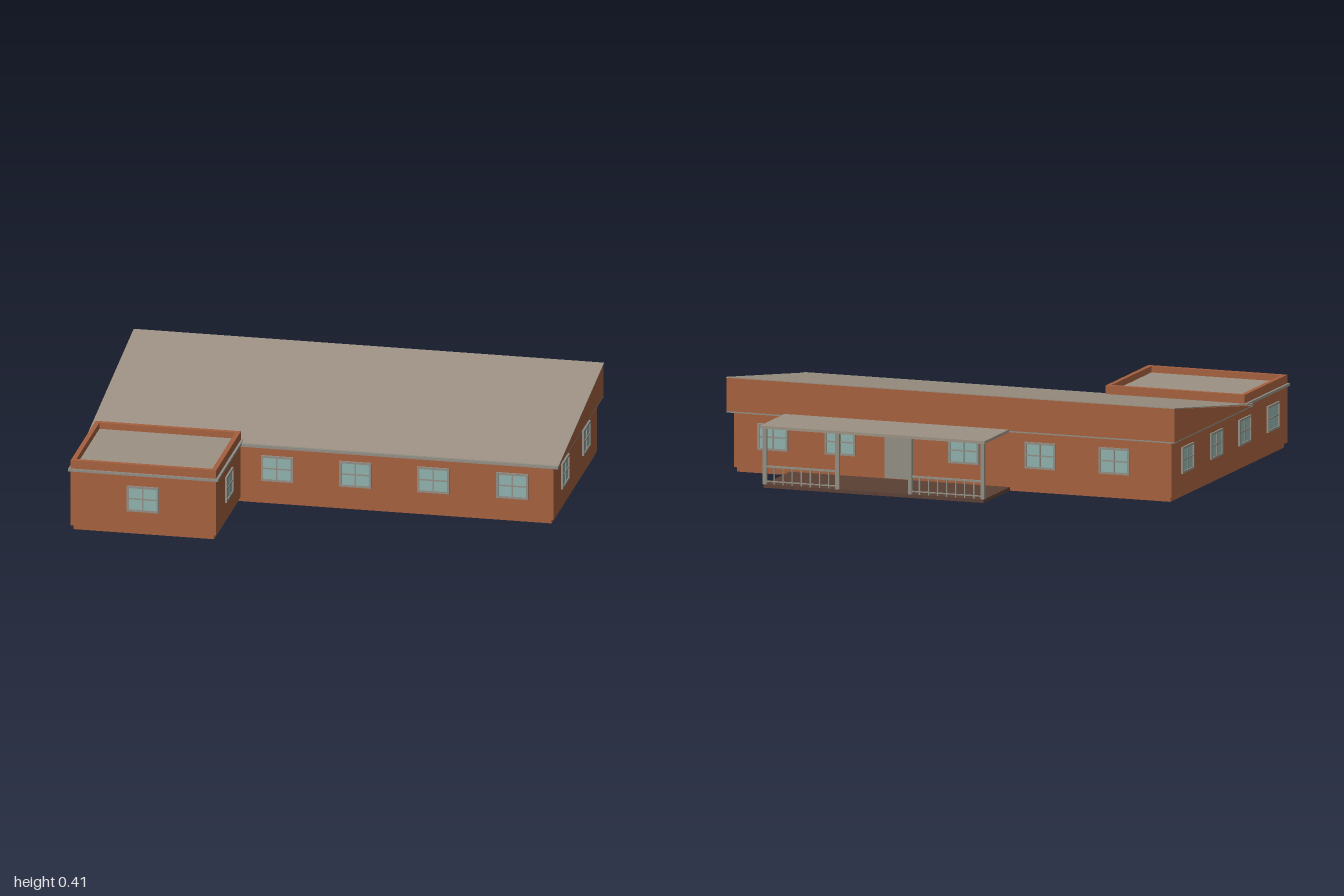
import * as THREE from 'three';

const mat = (name, color, extra) => Object.assign(new THREE.MeshStandardMaterial({ color }), { name }, extra);

export function createModel() {
  const brick = mat('brick', 0xa5603e);
  const roofing = mat('roofing', 0x9c9183);
  const trim = mat('trim', 0x918d84);
  const glass = mat('glass', 0x8fb0ac);
  const deckWood = mat('deckWood', 0x5a4034);

  const house = new THREE.Group();
  house.name = 'house';

  // Box given by its extents on each axis
  function box(parent, name, material, x0, x1, y0, y1, z0, z1) {
    const mesh = new THREE.Mesh(new THREE.BoxGeometry(x1 - x0, y1 - y0, z1 - z0), material);
    mesh.position.set((x0 + x1) / 2, (y0 + y1) / 2, (z0 + z1) / 2);
    mesh.name = name;
    parent.add(mesh);
    return mesh;
  }

  // Profile in (z, y) swept along x, centred on x = 0
  function prism(name, material, points, width) {
    const shape = new THREE.Shape(points.map(([z, y]) => new THREE.Vector2(z, y)));
    const geo = new THREE.ExtrudeGeometry(shape, { depth: width, bevelEnabled: false });
    geo.translate(0, 0, -width / 2);
    geo.rotateY(-Math.PI / 2);
    const mesh = new THREE.Mesh(geo, material);
    mesh.name = name;
    house.add(mesh);
  }

  // Main block
  box(house, 'mainPlinth', brick, -0.965, 0.965, 0, 0.02, -0.512, 0.33);
  box(house, 'mainWalls', brick, -0.975, 0.975, 0.02, 0.256, -0.522, 0.34);
  box(house, 'soffit', trim, -0.998, 0.998, 0.254, 0.26, -0.548, 0.355);
  box(house, 'frontGutter', trim, -1, 1, 0.254, 0.266, 0.34, 0.367);

  // Single-pitch roof
  prism('gableWedge', brick, [[0.345, 0.26], [-0.548, 0.26], [-0.548, 0.401]], 1.996);
  prism('roofSheet', roofing, [[0.367, 0.26], [0.367, 0.264], [-0.55, 0.405], [-0.55, 0.401]], 2);

  // Front wing with flat roof and parapet
  const wx0 = -0.975, wx1 = -0.357, wz0 = 0.325, wz1 = 0.823;
  box(house, 'wingPlinth', brick, wx0 + 0.01, wx1 - 0.01, 0, 0.02, wz0, wz1 - 0.01);
  box(house, 'wingWalls', brick, wx0, wx1, 0.02, 0.26, wz0, wz1);
  box(house, 'wingRoof', trim, wx0 - 0.01, wx1 + 0.01, 0.26, 0.271, wz0, wz1 + 0.008);
  box(house, 'wingRoofTop', roofing, wx0 + 0.01, wx1 - 0.01, 0.271, 0.28, wz0 + 0.01, wz1 - 0.01);
  const p = 0.02;
  for (const x of [wx0, wx1 - p]) box(house, 'parapetSide', brick, x, x + p, 0.271, 0.307, wz0, wz1);
  for (const z of [wz0, wz1 - p]) box(house, 'parapetEnd', brick, wx0 + p, wx1 - p, 0.271, 0.307, z, z + p);

  // Windows: pane, frame and a cross of glazing bars, facing +z before turning
  function addWindow(x, z, angle) {
    const w = new THREE.Group();
    w.name = 'window';
    const hw = 0.068, hh = 0.056, f = 0.009;
    box(w, 'pane', glass, -hw + f, hw - f, -hh + f, hh - f, -0.002, 0.003);
    for (const s of [-1, 1]) {
      const cx = s * (hw - f / 2), cy = s * (hh - f / 2);
      box(w, 'frameSide', trim, cx - f / 2, cx + f / 2, -hh, hh, -0.002, 0.008);
      box(w, 'frameRail', trim, -hw + f, hw - f, cy - f / 2, cy + f / 2, -0.002, 0.008);
    }
    box(w, 'uprightBar', trim, -0.003, 0.003, -hh + f, hh - f, 0, 0.006);
    box(w, 'crossBar', trim, -hw + f, hw - f, -0.003, 0.003, 0, 0.006);
    w.position.set(x, 0.158, z);
    w.rotation.y = angle;
    house.add(w);
  }
  for (const x of [-0.2, 0.133, 0.465, 0.8]) addWindow(x, 0.34, 0);
  addWindow(-0.667, wz1, 0);
  addWindow(wx1, 0.575, Math.PI / 2);
  for (const z of [0.12, -0.3]) addWindow(0.975, z, Math.PI / 2);
  for (const z of [-0.345, -0.01, 0.32, 0.65]) addWindow(wx0, z, -Math.PI / 2);
  for (const x of [-0.72, -0.39, -0.05, 0.5, 0.8]) addWindow(x, -0.522, Math.PI);

  // Back porch
  const porch = new THREE.Group();
  porch.name = 'porch';
  house.add(porch);
  box(porch, 'deck', deckWood, -0.25, 0.73, 0, 0.015, -0.815, -0.512);
  box(porch, 'porchRoof', roofing, -0.26, 0.74, 0.253, 0.265, -0.833, -0.522);
  box(porch, 'door', trim, 0.18, 0.3, 0.02, 0.2, -0.53, -0.522);
  const posts = [-0.245, 0.078, 0.402, 0.725];
  for (const x of posts) box(porch, 'post', trim, x - 0.008, x + 0.008, 0.015, 0.253, -0.818, -0.803);

  // Railings either side of the open middle bay
  for (const [a, b] of [[posts[0], posts[1]], [posts[2], posts[3]]]) {
    box(porch, 'handrail', trim, a, b, 0.086, 0.094, -0.815, -0.806);
    box(porch, 'bottomRail', trim, a, b, 0.025, 0.03, -0.813, -0.808);
    for (let i = 1; i < 8; i++) {
      const x = a + (b - a) * i / 8;
      box(porch, 'baluster', trim, x - 0.0025, x + 0.0025, 0.015, 0.088, -0.813, -0.808);
    }
  }
  return house;
}
